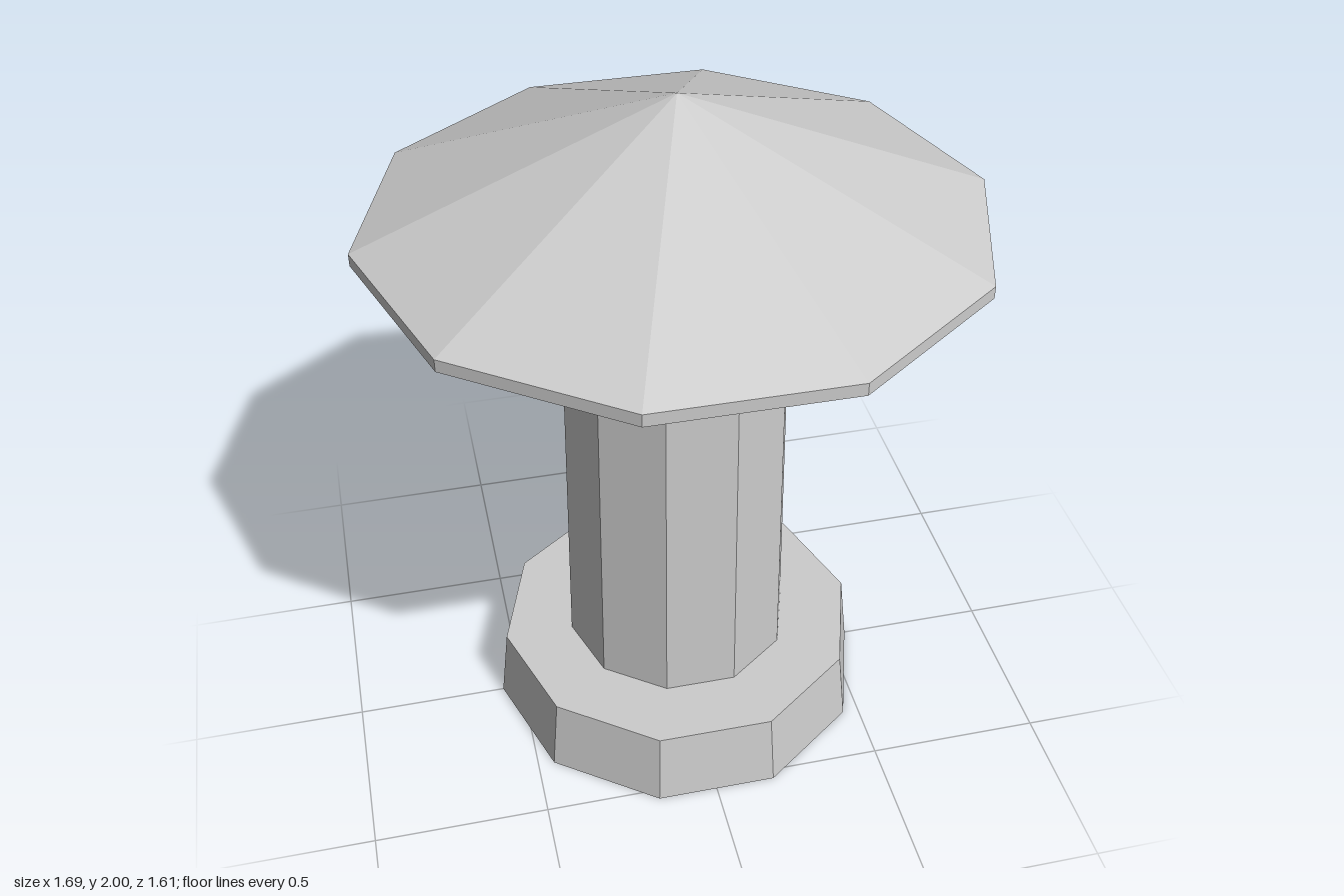
import * as THREE from 'three';

const SIDES = 10;
const TURN = Math.PI / SIDES; // puts a corner on the +x axis

export function createModel() {
  const model = new THREE.Group();
  model.name = 'chimneyPipe';
  const metal = new THREE.MeshStandardMaterial({ color: 0xcccccc, flatShading: true });
  metal.name = 'galvanizedMetal';

  const add = (name, geometry) => {
    const mesh = new THREE.Mesh(geometry, metal);
    mesh.name = name;
    model.add(mesh);
    return mesh;
  };

  // tapered drum between two heights
  const drum = (name, rTop, rBottom, y0, y1) => {
    const g = new THREE.CylinderGeometry(rTop, rBottom, y1 - y0, SIDES, 1, false, TURN);
    add(name, g.translate(0, (y0 + y1) / 2, 0));
  };
  drum('baseCollar', 0.535, 0.56, 0, 0.225);
  drum('pipe', 0.315, 0.333, 0.2, 1.505);

  // hollow conical rain cap with a thin rim
  const capProfile = [[0, 1.965], [0.845, 1.615], [0.845, 1.65], [0, 2]]
    .map(([r, y]) => new THREE.Vector2(r, y));
  add('rainCap', new THREE.LatheGeometry(capProfile, SIDES, TURN));

  // struts leaning out from the pipe to the underside of the cap
  const up = new THREE.Vector3(0, 1, 0);
  [0, 72, -72, -144].forEach((degrees) => {
    const bottom = new THREE.Vector3(0, 1.425, 0.276);
    const top = new THREE.Vector3(0, 1.8, 0.422);
    const axis = top.clone().sub(bottom);
    const g = new THREE.CylinderGeometry(0.034, 0.034, axis.length(), 6, 1, false, Math.PI / 6);
    g.applyQuaternion(new THREE.Quaternion().setFromUnitVectors(up, axis.normalize()));
    const mid = bottom.add(top).multiplyScalar(0.5);
    g.translate(mid.x, mid.y, mid.z);
    add('capStrut', g).rotation.y = THREE.MathUtils.degToRad(degrees);
  });

  return model;
}
